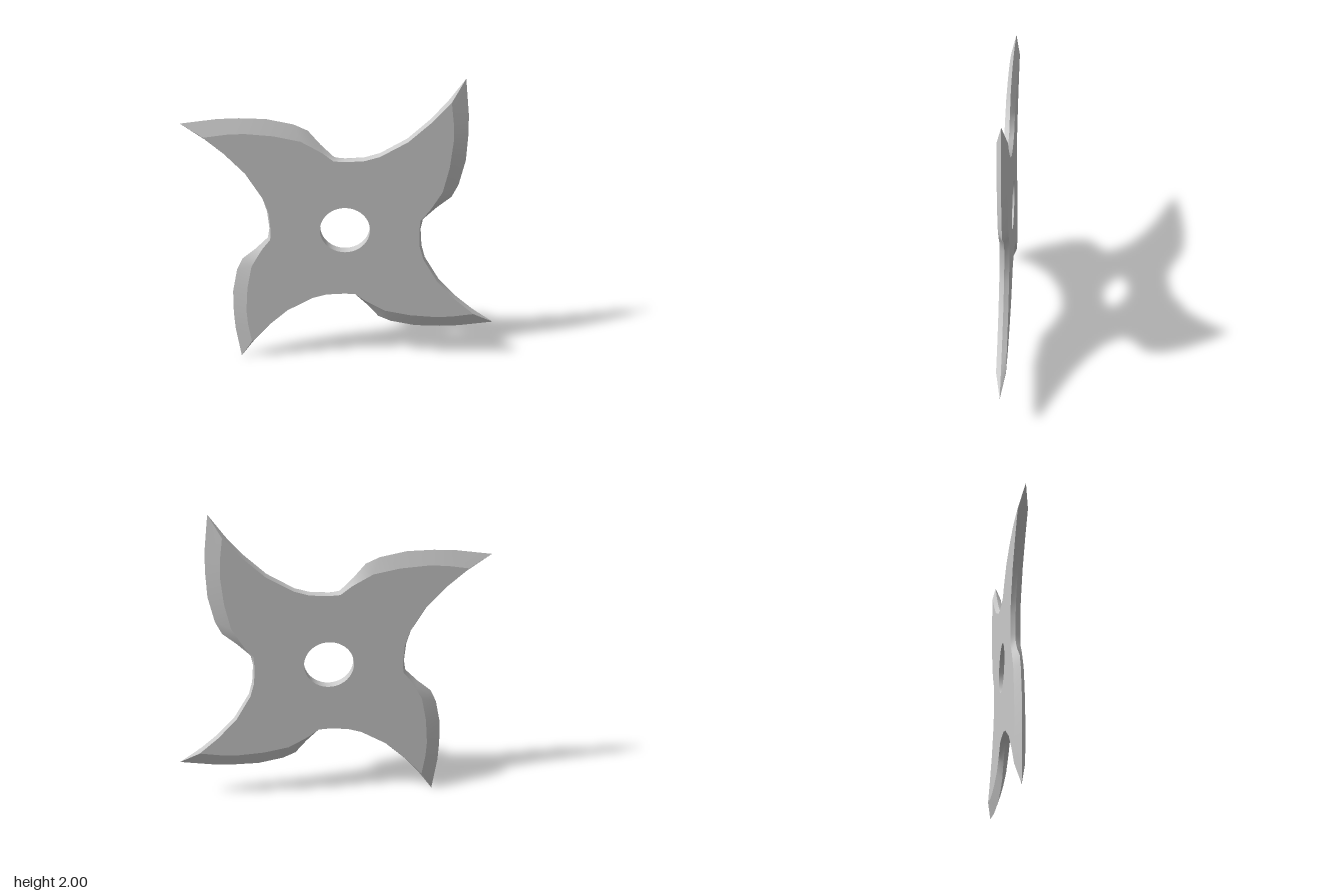
import * as THREE from 'three';
import { toCreasedNormals } from 'three/addons/utils/BufferGeometryUtils.js';

const HALF = 0.03;   // half thickness of the flat plate
const HOLE = 0.16;   // centre hole radius

// One quarter of the outline, clockwise from a blade tip: [edge x, edge y, face x, face y].
// The edge lies on z = 0, the face outline on z = +-HALF.
const QUARTER = [
  [0.715, 1.0, 0.635, 0.86], [0.745, 0.77, 0.655, 0.72], [0.75, 0.64, 0.66, 0.61],
  [0.745, 0.475, 0.645, 0.435], [0.71, 0.31, 0.61, 0.27], [0.67, 0.225, 0.57, 0.2],
  [0.58, 0.15, 0.535, 0.14], [0.497, 0.067, 0.48, 0.07], [0.485, 0, 0.475, 0],
  [0.495, -0.12, 0.482, -0.12], [0.52, -0.21, 0.51, -0.215], [0.62, -0.38, 0.608, -0.385],
  [0.745, -0.515, 0.735, -0.523], [0.86, -0.615, 0.845, -0.62],
];

// Repeat the quarter four times, turning clockwise by 90 degrees
function outline() {
  const edge = [], face = [];
  const centre = new THREE.Vector2();
  for (let k = 0; k < 4; k++) {
    for (const [ex, ey, fx, fy] of QUARTER) {
      edge.push(new THREE.Vector2(ex, ey).rotateAround(centre, -k * Math.PI / 2));
      face.push(new THREE.Vector2(fx, fy).rotateAround(centre, -k * Math.PI / 2));
    }
  }
  return { edge, face };
}

// Sloping strip from the sharp edge to the flat face on one side (+1 front, -1 back)
function bevelGeometry(edge, face, side) {
  const pos = [];
  const z = side * HALF;
  for (let i = 0; i < edge.length; i++) {
    const j = (i + 1) % edge.length;
    const a = [edge[i].x, edge[i].y, 0], b = [edge[j].x, edge[j].y, 0];
    const c = [face[i].x, face[i].y, z], d = [face[j].x, face[j].y, z];
    const tris = side > 0 ? [b, a, c, b, c, d] : [a, b, c, c, b, d];
    pos.push(...tris.flat());
  }
  const geo = new THREE.BufferGeometry();
  geo.setAttribute('position', new THREE.Float32BufferAttribute(pos, 3));
  return toCreasedNormals(geo, 0.6);
}

// Flat face with the round hole
function faceGeometry(face, side) {
  const shape = new THREE.Shape(face);
  shape.holes.push(new THREE.Path().absarc(0, 0, HOLE, 0, Math.PI * 2, true));
  const geo = new THREE.ShapeGeometry(shape, 24);
  if (side < 0) {
    geo.index.array.reverse();
    geo.computeVertexNormals();
  }
  return geo.translate(0, 0, side * HALF);
}

export function createModel() {
  const model = new THREE.Group();
  model.name = 'throwingStar';
  const body = new THREE.Group();
  body.name = 'body';
  body.position.y = 1;
  model.add(body);

  const material = new THREE.MeshStandardMaterial({ color: 0xcccccc });
  const add = (name, geo, mat = material) => {
    const mesh = new THREE.Mesh(geo, mat);
    mesh.name = name;
    body.add(mesh);
  };

  const { edge, face } = outline();
  for (const [label, side] of [['front', 1], ['back', -1]]) {
    add(label + 'Face', faceGeometry(face, side));
    add(label + 'Bevel', bevelGeometry(edge, face, side));
  }

  // Inner wall of the centre hole
  const wall = new THREE.CylinderGeometry(HOLE, HOLE, HALF * 2, 48, 1, true).rotateX(Math.PI / 2);
  add('holeWall', wall, new THREE.MeshStandardMaterial({ color: 0xcccccc, side: THREE.DoubleSide }));

  return model;
}
